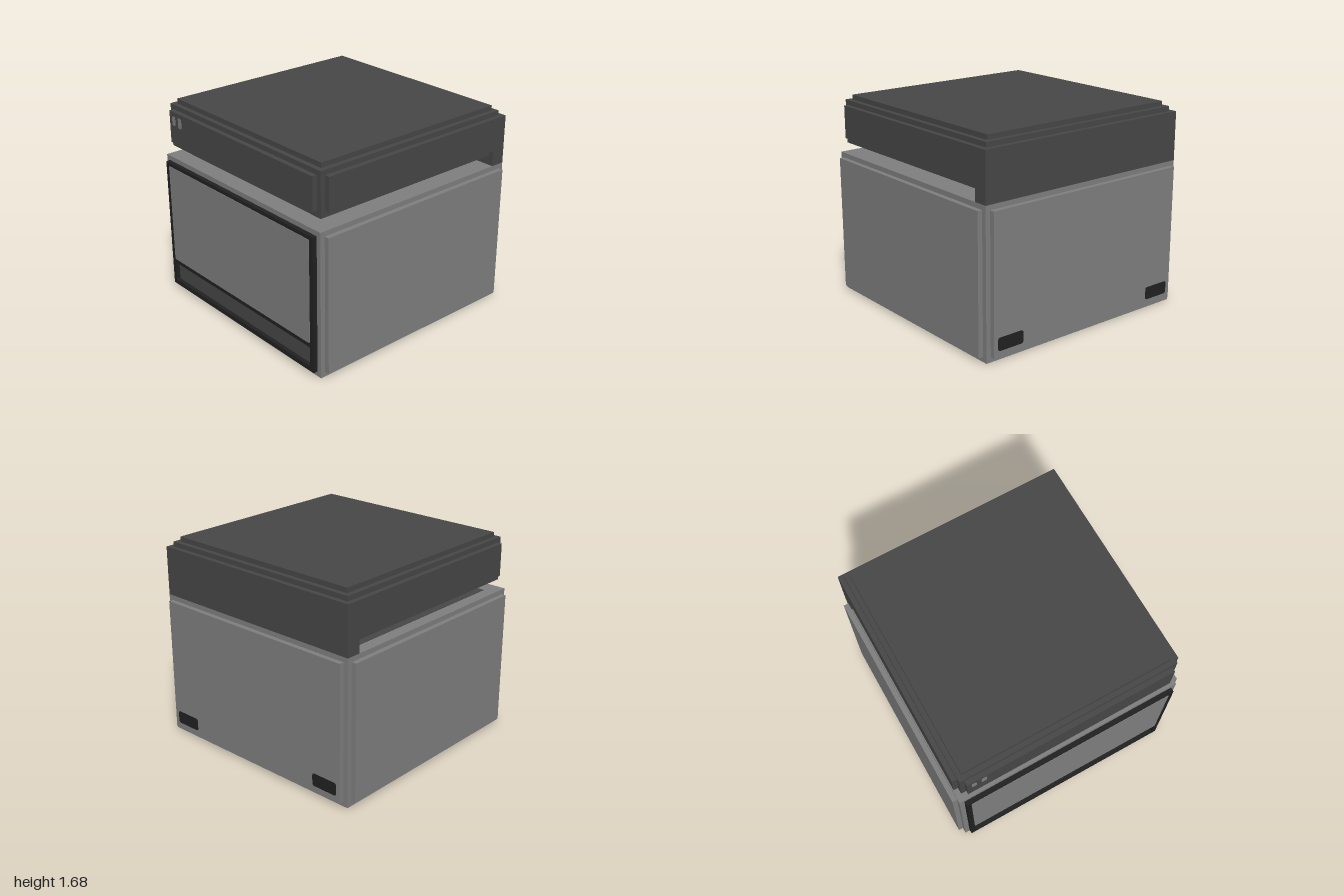
import * as THREE from 'three';

const mat = (name, color) => {
  const m = new THREE.MeshStandardMaterial({ color });
  m.name = name;
  return m;
};

// rounded rectangle given by its bounds
function roundedRect(path, x0, x1, y0, y1, r) {
  path.moveTo(x0 + r, y0);
  path.lineTo(x1 - r, y0);
  path.quadraticCurveTo(x1, y0, x1, y0 + r);
  path.lineTo(x1, y1 - r);
  path.quadraticCurveTo(x1, y1, x1 - r, y1);
  path.lineTo(x0 + r, y1);
  path.quadraticCurveTo(x0, y1, x0, y1 - r);
  path.lineTo(x0, y0 + r);
  path.quadraticCurveTo(x0, y0, x0 + r, y0);
  return path;
}

export function createModel() {
  const grey = mat('mid grey', 0x7f7f7f);
  const dark = mat('dark grey', 0x474747);
  const black = mat('black', 0x212121);
  const model = new THREE.Group();
  model.name = 'deskScanner';

  const add = (parent, name, geometry, material) => {
    const mesh = new THREE.Mesh(geometry, material);
    mesh.name = name;
    parent.add(mesh);
    return mesh;
  };
  // box from its bounds
  const box = (parent, name, material, x0, x1, y0, y1, z0, z1) => {
    const g = new THREE.BoxGeometry(x1 - x0, y1 - y0, z1 - z0);
    g.translate((x0 + x1) / 2, (y0 + y1) / 2, (z0 + z1) / 2);
    return add(parent, name, g, material);
  };
  // rounded plate in the xy plane, from z0 to z1
  const plate = (parent, name, material, x0, x1, y0, y1, z0, z1, r) => {
    const shape = roundedRect(new THREE.Shape(), x0, x1, y0, y1, r);
    const g = new THREE.ExtrudeGeometry(shape, { depth: z1 - z0, bevelEnabled: false, curveSegments: 4 });
    g.translate(0, 0, z0);
    return add(parent, name, g, material);
  };

  // main body with raised side and back panels
  const body = new THREE.Group();
  body.name = 'body';
  model.add(body);
  box(body, 'bodyCore', grey, -0.96, 0.96, 0, 1.2, -0.96, 0.96);
  box(body, 'leftPanel', grey, 0.96, 1, 0.04, 1.16, -0.92, 0.92);
  box(body, 'rightPanel', grey, -1, -0.96, 0.04, 1.16, -0.92, 0.92);
  box(body, 'backPanel', grey, -0.92, 0.92, 0.04, 1.16, -1, -0.96);
  box(body, 'scanStrip', dark, -0.86, -0.63, 1.2, 1.203, -0.8, 0.81);

  // front frame, open around the recessed tray
  const frame = new THREE.Shape();
  frame.moveTo(-0.92, 0.04);
  frame.lineTo(0.92, 0.04);
  frame.lineTo(0.92, 1.16);
  frame.lineTo(-0.92, 1.16);
  frame.closePath();
  frame.holes.push(roundedRect(new THREE.Path(), -0.88, 0.88, 0.08, 0.245, 0.015));
  const frameGeometry = new THREE.ExtrudeGeometry(frame, { depth: 0.037, bevelEnabled: false, curveSegments: 4 });
  frameGeometry.translate(0, 0, 0.96);
  add(body, 'frontFrame', frameGeometry, black);
  plate(body, 'frontPanel', grey, -0.88, 0.88, 0.28, 1.13, 0.996, 1, 0.015);
  plate(body, 'trayFront', dark, -0.88, 0.88, 0.08, 0.245, 0.96, 0.964, 0.015);

  // pads in the lower corners of the back
  for (const s of [-1, 1]) {
    const c = s * 0.765;
    plate(body, 'backPad', black, c - 0.118, c + 0.118, 0.09, 0.195, -1.003, -0.999, 0.02);
  }

  // lid with stepped edges, resting on a hinge block at the back
  const lid = new THREE.Group();
  lid.name = 'lid';
  model.add(lid);
  box(lid, 'lidCore', dark, -0.92, 0.92, 1.28, 1.64, -0.92, 0.92);
  box(lid, 'lidTop', dark, -0.88, 0.88, 1.64, 1.68, -0.88, 0.88);
  box(lid, 'hingeBlock', dark, -0.96, 0.96, 1.2, 1.6, -0.96, -0.84);
  box(lid, 'lidFront', dark, -0.88, 0.88, 1.33, 1.6, 0.92, 0.96);
  box(lid, 'lidLeftSide', dark, 0.92, 0.96, 1.33, 1.6, -0.84, 0.88);
  box(lid, 'lidRightSide', dark, -0.96, -0.92, 1.33, 1.6, -0.84, 0.88);

  // two small buttons on the lid front
  plate(lid, 'smallButton', grey, -0.843, -0.803, 1.485, 1.56, 0.959, 0.963, 0.012);
  plate(lid, 'largeButton', grey, -0.762, -0.718, 1.48, 1.565, 0.959, 0.963, 0.012);

  return model;
}
